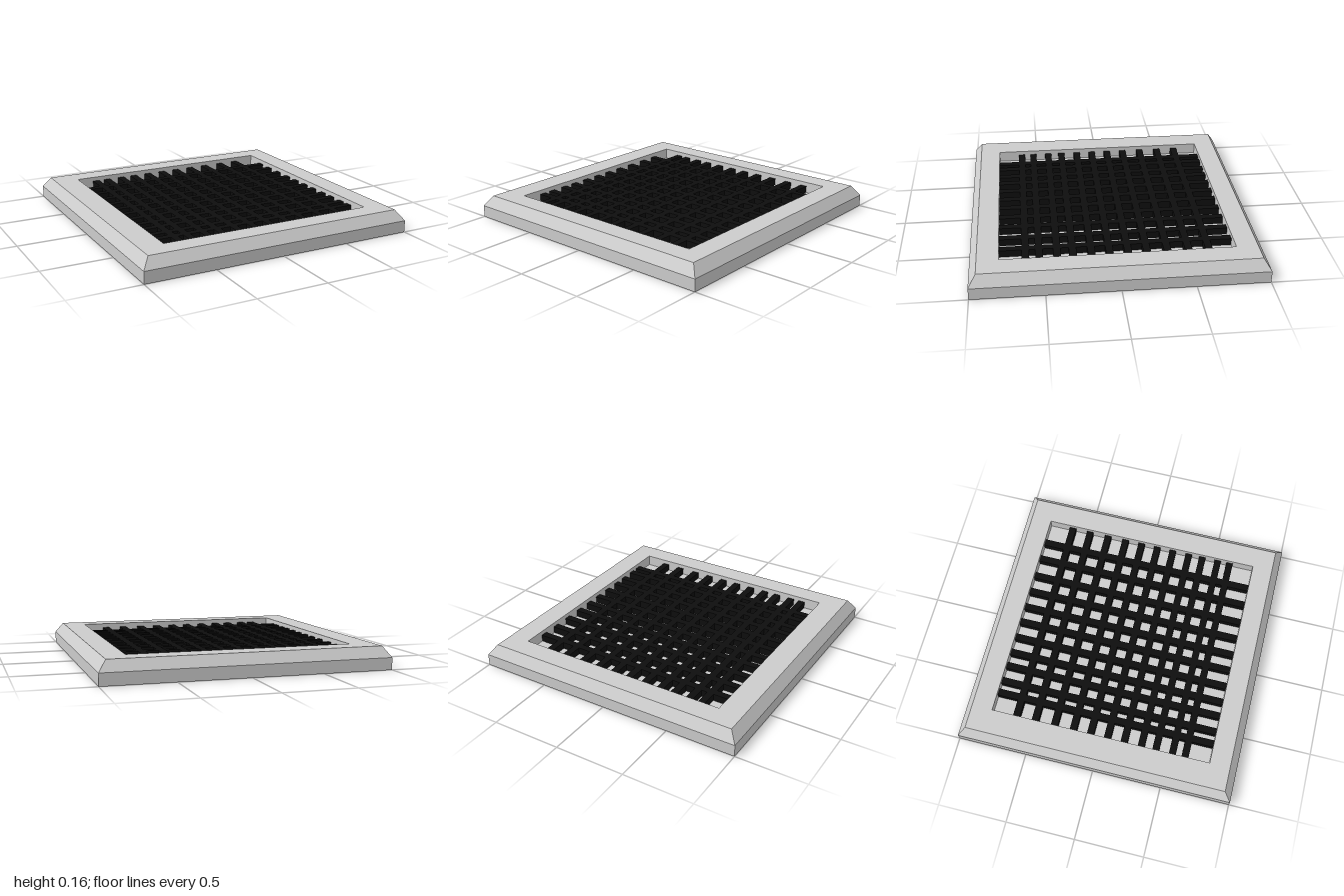
import * as THREE from 'three';

const FLOOR = 0.08, BAR = 0.05;
const INNER = { x0: -0.775, x1: 0.79, z0: -0.8, z1: 0.8 };

// Four corners of a rectangle at height y, anticlockwise from above
const ring = (y, x0, x1, z0, z1) => [[x0, y, z1], [x1, y, z1], [x1, y, z0], [x0, y, z0]];

// Closed tray: outer wall, sloped edge, rim, recess wall and recess floor
function trayGeometry() {
  const { x0, x1, z0, z1 } = INNER;
  const rings = [
    ring(0, -1, 1, -1, 1),
    ring(0.085, -1, 1, -1, 1),
    ring(0.16, -0.947, 0.945, -0.95, 0.947),
    ring(0.16, x0, x1, z0, z1),
    ring(FLOOR, x0, x1, z0, z1),
  ];
  const pos = [];
  const quad = (a, b, c, d) => pos.push(...a, ...b, ...c, ...a, ...c, ...d);
  for (let r = 0; r < rings.length - 1; r++) {
    for (let i = 0; i < 4; i++) {
      const j = (i + 1) % 4;
      quad(rings[r][i], rings[r][j], rings[r + 1][j], rings[r + 1][i]);
    }
  }
  quad(...rings[0].slice().reverse());
  quad(...rings[rings.length - 1]);
  const geo = new THREE.BufferGeometry();
  geo.setAttribute('position', new THREE.Float32BufferAttribute(pos, 3));
  geo.computeVertexNormals();
  return geo;
}

export function createModel() {
  const model = new THREE.Group();
  const grey = new THREE.MeshStandardMaterial({ color: 0xcccccc, flatShading: true });
  const black = new THREE.MeshStandardMaterial({ color: 0x0e0e0e, flatShading: true });

  const tray = new THREE.Mesh(trayGeometry(), grey);
  tray.name = 'tray';
  model.add(tray);

  const { x0, x1, z0, z1 } = INNER;
  const grate = new THREE.Group();
  grate.name = 'grate';
  model.add(grate);
  const bar = (name, w, d, x, z) => {
    const mesh = new THREE.Mesh(new THREE.BoxGeometry(w, BAR, d), black);
    mesh.name = name;
    mesh.position.set(x, FLOOR + BAR / 2, z);
    grate.add(mesh);
  };

  // Bars running front to back, unevenly spaced
  for (const x of [-0.626, -0.535, -0.415, -0.308, -0.184, -0.057, 0.067, 0.198, 0.332, 0.478, 0.618])
    bar('lengthBar', BAR, z1 - z0, x, (z0 + z1) / 2);

  // Bars running side to side
  for (const z of [-0.623, -0.484, -0.34, -0.2, -0.072, 0.053, 0.176, 0.302, 0.409, 0.53, 0.622])
    bar('crossBar', x1 - x0, BAR, (x0 + x1) / 2, z);

  return model;
}
